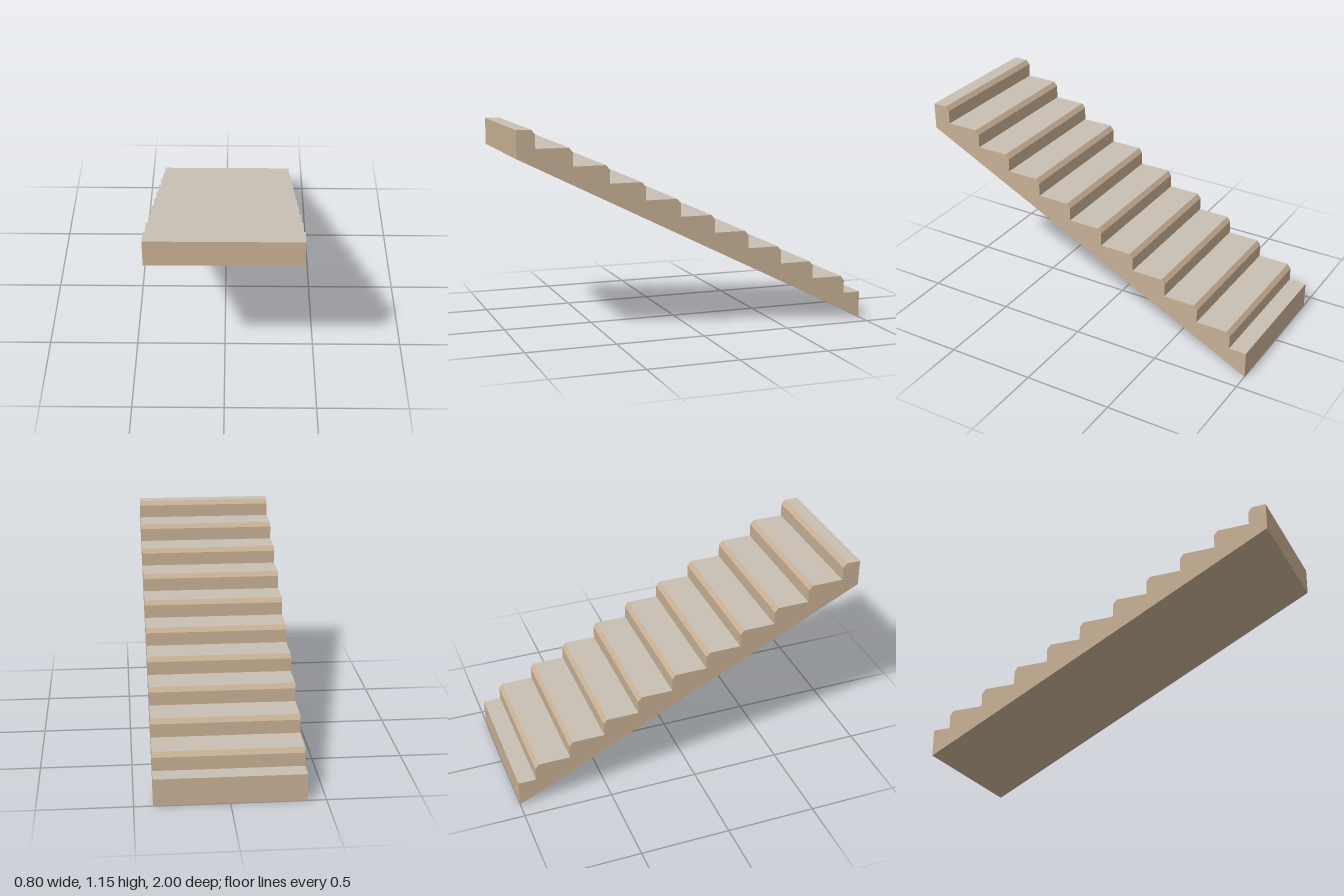
import * as THREE from 'three';

const WIDTH = 0.8, STEPS = 10, RUN = 0.2, RISE = 0.1;
const NOSE_Z = 0.02, NOSE_Y = 0.025;

// Side profile of the flight, drawn as (z, y)
function stairProfile() {
  const shape = new THREE.Shape();
  shape.moveTo(1, 1);
  shape.lineTo(1, 1.15);
  for (let i = STEPS; i > 0; i--) {
    const z = -1.1 + i * RUN, y = 0.15 + i * RISE;
    shape.lineTo(z + NOSE_Z, y);      // chamfered nosing
    shape.lineTo(z, y - NOSE_Y);
    shape.lineTo(z, y - RISE);        // riser
  }
  shape.lineTo(-1, 0.15);
  shape.lineTo(-1, 0);
  shape.closePath();
  return shape;
}

// Keep only the triangles whose normal passes the test
function pickFaces(geometry, test) {
  const pos = geometry.attributes.position, nor = geometry.attributes.normal;
  const points = [];
  for (let i = 0; i < pos.count; i += 3) {
    if (!test(nor.getY(i))) continue;
    for (let k = i; k < i + 3; k++) points.push(new THREE.Vector3().fromBufferAttribute(pos, k));
  }
  const result = new THREE.BufferGeometry().setFromPoints(points);
  result.computeVertexNormals();
  return result;
}

export function createModel() {
  const group = new THREE.Group();
  group.name = 'staircase';

  const solid = new THREE.ExtrudeGeometry(stairProfile(), { depth: WIDTH, bevelEnabled: false });
  solid.translate(0, 0, -WIDTH / 2);
  solid.rotateY(-Math.PI / 2);

  const addPart = (name, color, test) => {
    const mesh = new THREE.Mesh(pickFaces(solid, test), new THREE.MeshStandardMaterial({ color }));
    mesh.name = name;
    group.add(mesh);
  };

  // Sides, risers, nosings and sloping underside
  addPart('stairBody', 0xc8b094, (ny) => ny < 0.99);
  // Level walking surfaces
  addPart('treads', 0xc8beb4, (ny) => ny >= 0.99);

  return group;
}
